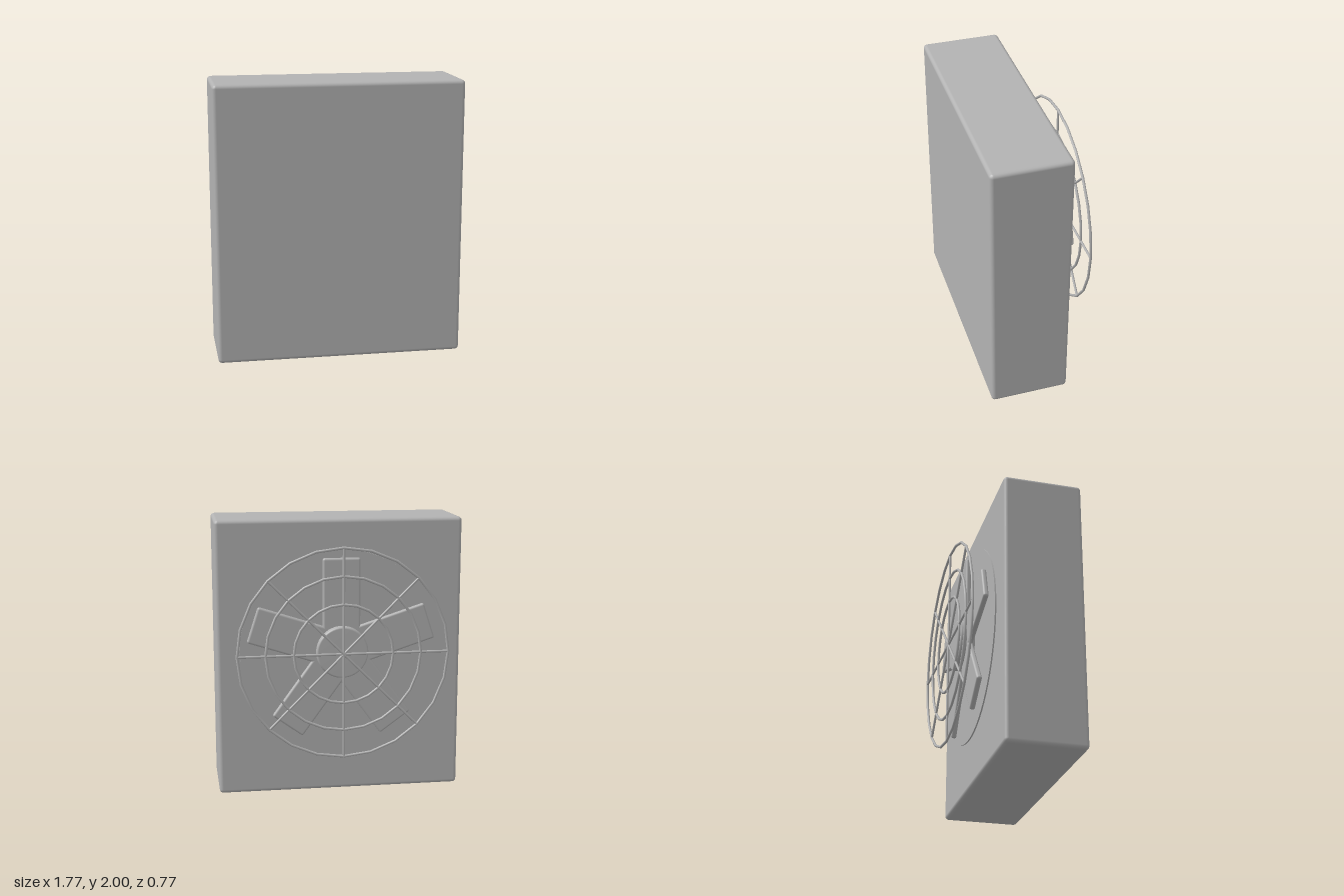
import * as THREE from 'three';
import { RoundedBoxGeometry } from 'three/addons/geometries/RoundedBoxGeometry.js';

const grey = new THREE.MeshStandardMaterial({ color: 0xb2b2b2 });
grey.name = 'grey';

const FAN_Y = 1.062;

function add(parent, name, geometry, x = 0, y = 0, z = 0) {
  const mesh = new THREE.Mesh(geometry, grey);
  mesh.name = name;
  mesh.position.set(x, y, z);
  parent.add(mesh);
  return mesh;
}

// Lathe whose axis points to the back (-z); points are [radius, distance back]
function backLathe(points, segments) {
  const g = new THREE.LatheGeometry(points.map(p => new THREE.Vector2(p[0], p[1])), segments);
  return g.rotateX(-Math.PI / 2);
}

export function createModel() {
  const model = new THREE.Group();
  model.name = 'fanUnit';

  // Casing
  add(model, 'casing', new RoundedBoxGeometry(1.775, 2, 0.57, 2, 0.028), 0, 1, 0.097);

  // Everything on the back turns about the fan axis
  const fan = new THREE.Group();
  fan.name = 'fan';
  fan.position.y = FAN_Y;
  model.add(fan);

  // Thin round plate behind the blades
  const plate = new THREE.CylinderGeometry(0.725, 0.725, 0.01, 64).rotateX(Math.PI / 2);
  add(fan, 'backPlate', plate, 0, 0, -0.207);

  // Hub with softened edges
  add(fan, 'hub', backLathe([
    [0, 0.215], [0.172, 0.215], [0.182, 0.219], [0.186, 0.229],
    [0.186, 0.316], [0.182, 0.326], [0.172, 0.33], [0, 0.33],
  ], 48).toNonIndexed(), 0, 0, 0);

  // Five flat blades
  for (let i = 0; i < 5; i++) {
    const arm = new THREE.Group();
    arm.name = 'bladeArm';
    arm.rotation.z = i * Math.PI * 2 / 5;
    fan.add(arm);
    add(arm, 'blade', new RoundedBoxGeometry(0.27, 0.54, 0.04, 2, 0.016), 0, 0.4, -0.26);
  }

  // Wire guard: three rings and four crossing bars
  const guard = new THREE.Group();
  guard.name = 'guard';
  guard.position.z = -0.375;
  fan.add(guard);
  for (const radius of [0.755, 0.555, 0.355]) {
    add(guard, 'guardRing', new THREE.TorusGeometry(radius, 0.01, 8, 24));
  }
  for (let i = 0; i < 4; i++) {
    const bar = add(guard, 'guardBar', new THREE.CylinderGeometry(0.009, 0.009, 1.52, 8));
    bar.rotation.z = i * Math.PI / 4;
  }

  return model;
}
